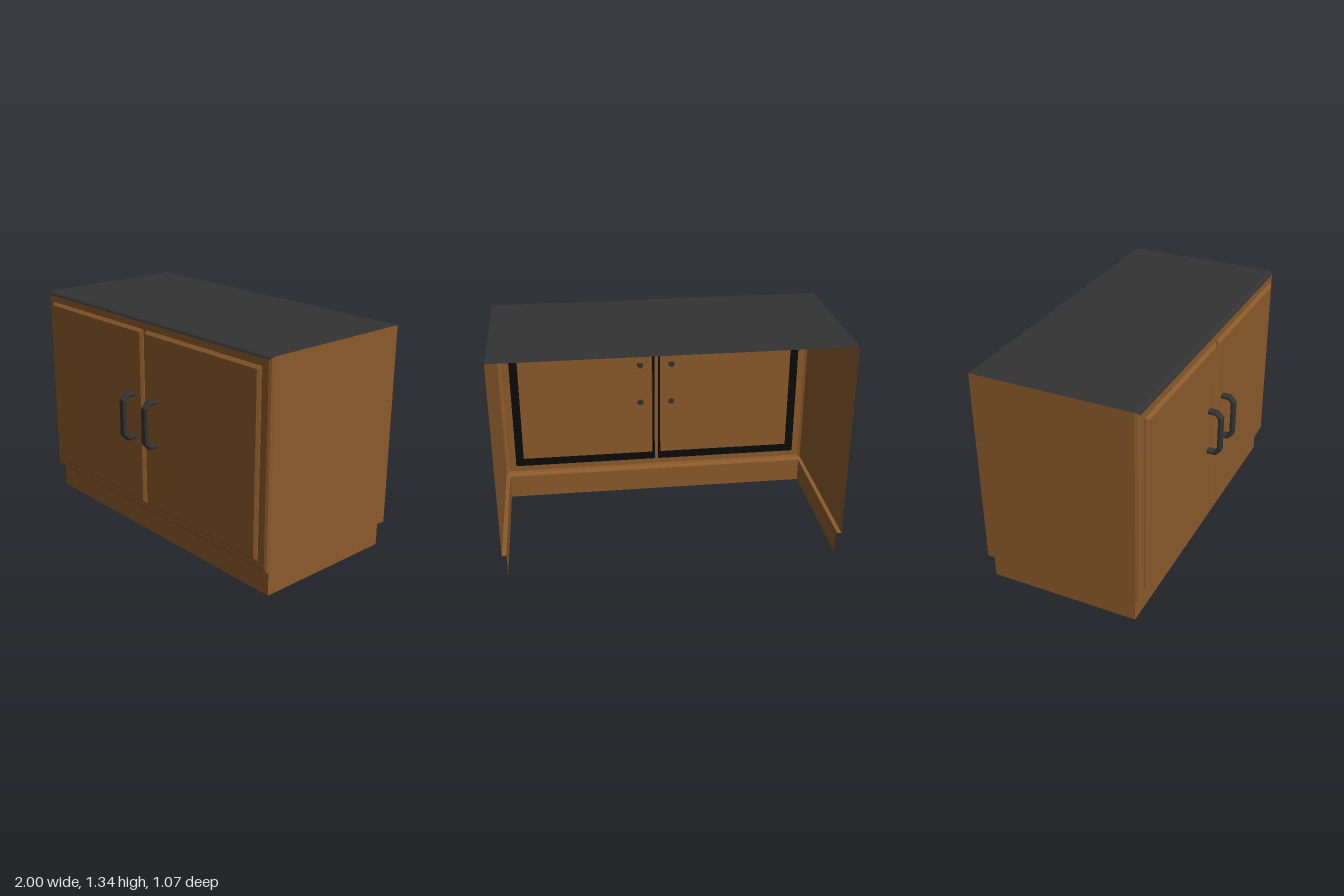
import * as THREE from 'three';

const wood = new THREE.MeshStandardMaterial({ color: 0x8b5a2b, side: THREE.DoubleSide });
wood.name = 'brown wood';
const dark = new THREE.MeshStandardMaterial({ color: 0x333333, side: THREE.DoubleSide });
dark.name = 'dark grey';
const black = new THREE.MeshStandardMaterial({ color: 0x0a0a0a, side: THREE.DoubleSide });
black.name = 'black trim';

function named(name, geometry, material) {
  const mesh = new THREE.Mesh(geometry, material);
  mesh.name = name;
  return mesh;
}

// Rectangular outline, as a shape or as a hole
function rect(Type, x0, x1, y0, y1) {
  return new Type([[x0, y0], [x1, y0], [x1, y1], [x0, y1]].map(([x, y]) => new THREE.Vector2(x, y)));
}

// Four corners of a rectangle [x0, x1, y0, y1, z], counter-clockwise from the front
const corners = ([x0, x1, y0, y1, z]) => [[x0, y0, z], [x1, y0, z], [x1, y1, z], [x0, y1, z]];

// Join successive rectangles from back to front; sides: 0 bottom, 1 right, 2 top, 3 left
function loft(rings, sides) {
  const pos = [];
  for (let i = 0; i + 1 < rings.length; i++) {
    const a = corners(rings[i]), b = corners(rings[i + 1]);
    for (const s of sides) {
      const t = (s + 1) % 4;
      pos.push(...a[s], ...a[t], ...b[t], ...a[s], ...b[t], ...b[s]);
    }
  }
  const g = new THREE.BufferGeometry();
  g.setAttribute('position', new THREE.Float32BufferAttribute(pos, 3));
  g.computeVertexNormals();
  return g;
}

// C-shaped pull with chamfered corners, bevelled along its edges
function handleGeometry() {
  const y0 = 0.605, y1 = 0.895, zb = 0.445, zf = 0.535, c = 0.036, t = 0.025, d = 0.02;
  const pts = [
    [zb, y0], [zf - c, y0], [zf, y0 + c], [zf, y1 - c], [zf - c, y1], [zb, y1],
    [zb, y1 - t], [zf - t - d, y1 - t], [zf - t, y1 - t - d],
    [zf - t, y0 + t + d], [zf - t - d, y0 + t], [zb, y0 + t],
  ];
  const g = new THREE.ExtrudeGeometry(new THREE.Shape(pts.map(p => new THREE.Vector2(...p))), {
    depth: 0.031, bevelEnabled: true, bevelThickness: 0.007, bevelSize: 0.007,
    bevelOffset: -0.007, bevelSegments: 1,
  });
  return g.translate(0, 0, -0.0155).rotateY(-Math.PI / 2);
}

export function createModel() {
  const model = new THREE.Group();
  model.name = 'cabinet';
  const doors = [
    { side: 'right', x0: -0.935, x1: -0.015, handleX: -0.105 },
    { side: 'left', x0: 0.008, x1: 0.932, handleX: 0.098 },
  ];
  const y0 = 0.207, y1 = 1.276;

  // Open-backed shell with a rounded front edge
  const rings = [
    [-1, 1, 0.15, 1.335, -0.535],
    [-1, 1, 0.15, 1.335, 0.405],
    [-0.993, 0.993, 0.157, 1.328, 0.423],
    [-0.978, 0.978, 0.172, 1.315, 0.43],
  ];
  model.add(named('sidePanels', loft(rings, [1, 3]), wood));
  model.add(named('worktop', loft(rings, [2]), dark));
  model.add(named('bottomEdge', loft(rings.slice(1), [0]), wood));

  // Front frame with two door openings
  const frame = rect(THREE.Shape, -0.978, 0.978, 0.172, 1.315);
  for (const d of doors) frame.holes.push(rect(THREE.Path, d.x0, d.x1, y0, y1));
  model.add(named('frontFrame', new THREE.ShapeGeometry(frame).translate(0, 0, 0.43), wood));

  // Recessed plinth on three sides and the ledge above it, open underneath
  const plinth = new THREE.Group();
  plinth.name = 'plinth';
  const front = new THREE.PlaneGeometry(1.95, 0.15).translate(0, 0.075, 0.39);
  plinth.add(named('plinthFront', front, wood));
  for (const s of [-1, 1]) {
    const side = new THREE.PlaneGeometry(0.9, 0.15).rotateY(s * Math.PI / 2).translate(s * 0.975, 0.075, -0.06);
    plinth.add(named('plinthSide', side, wood));
    const ledge = new THREE.PlaneGeometry(0.025, 0.925).rotateX(Math.PI / 2).translate(s * 0.9875, 0.15, -0.0725);
    plinth.add(named('sideLedge', ledge, wood));
  }
  const ledge = new THREE.PlaneGeometry(2, 0.015).rotateX(Math.PI / 2).translate(0, 0.15, 0.3975);
  plinth.add(named('frontLedge', ledge, wood));
  model.add(plinth);

  for (const d of doors) {
    const door = new THREE.Group();
    door.name = d.side + 'Door';

    // Bevelled door panel
    const b = 0.016;
    door.add(named('doorBevel', loft([
      [d.x0, d.x1, y0, y1, 0.43],
      [d.x0, d.x1, y0, y1, 0.435],
      [d.x0 + b, d.x1 - b, y0 + b, y1 - b, 0.449],
    ], [0, 1, 2, 3]), wood));
    const panel = new THREE.ShapeGeometry(rect(THREE.Shape, d.x0 + b, d.x1 - b, y0 + b, y1 - b));
    door.add(named('doorPanel', panel.translate(0, 0, 0.449), wood));

    // Black seal behind the door, narrow on the meeting edge
    const wide = 0.052, thin = 0.014, isRight = d.side === 'right';
    const seal = rect(THREE.Shape, d.x0, d.x1, y0, y1);
    seal.holes.push(rect(THREE.Path, d.x0 + (isRight ? wide : thin), d.x1 - (isRight ? thin : wide),
      y0 + wide, y1 - wide));
    door.add(named('doorSeal', new THREE.ShapeGeometry(seal).translate(0, 0, 0.43), black));

    // Handle, with its bolt heads showing on the inside
    const handle = named('handle', handleGeometry(), dark);
    handle.position.x = d.handleX;
    door.add(handle);
    for (const y of [0.62, 0.88]) {
      const bolt = new THREE.CylinderGeometry(0.018, 0.018, 0.012, 12).rotateX(Math.PI / 2);
      door.add(named('handleBolt', bolt.translate(d.handleX, y, 0.442), dark));
    }
    model.add(door);
  }
  return model;
}
